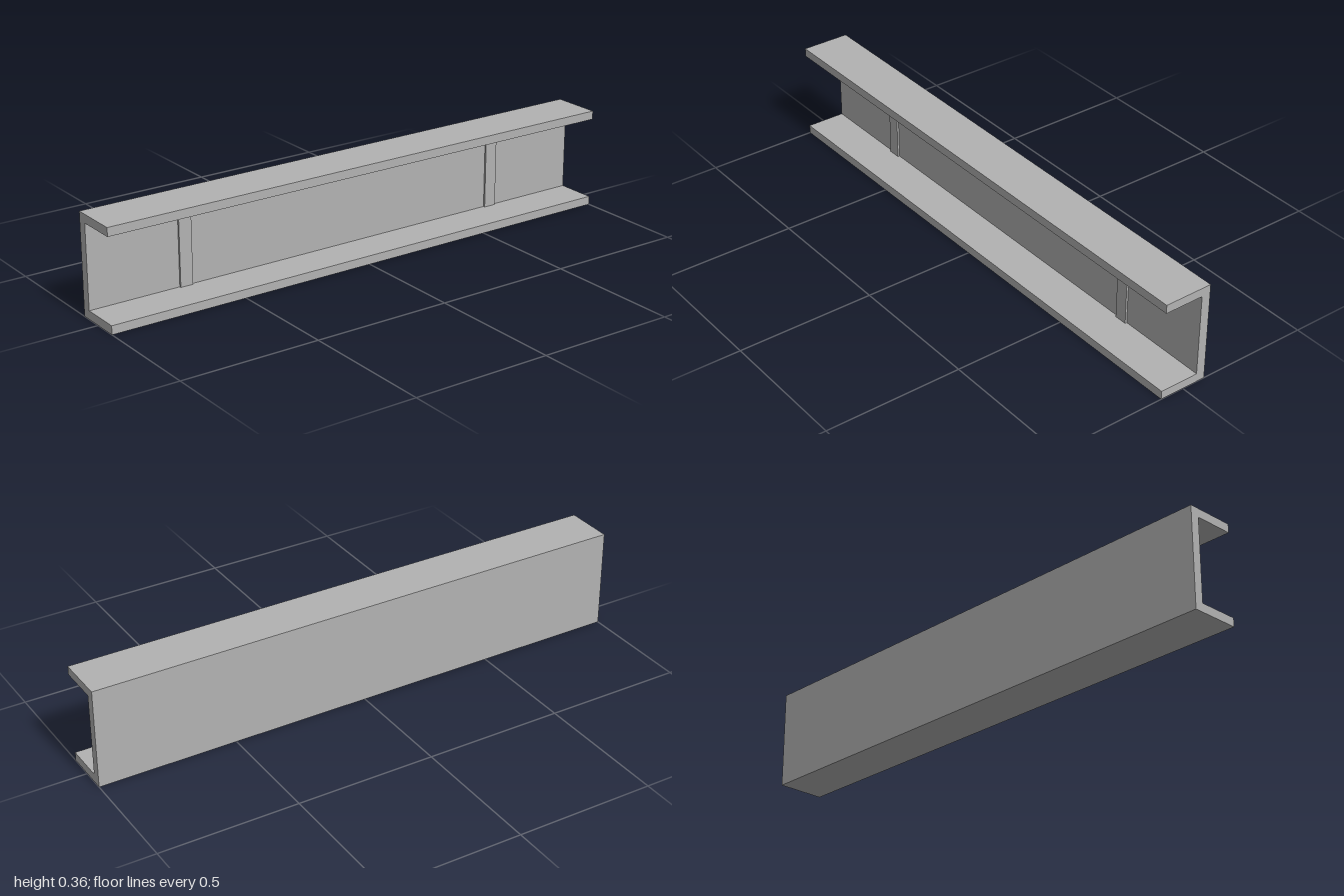
import * as THREE from 'three';

const LENGTH = 2, HEIGHT = 0.36, HALF_DEPTH = 0.089;
const FLANGE = 0.031;         // flange thickness
const WEB_FRONT = -0.056;     // z of the web's front face
const RIB_FRONT = -0.049;     // z of the ribs' front face

export function createModel() {
  const group = new THREE.Group();
  group.name = 'channelBeam';
  const steel = new THREE.MeshStandardMaterial({ color: 0xb2b2b2 });
  steel.name = 'greySteel';

  // C-shaped section as [z, y], open towards the front
  const section = [
    [HALF_DEPTH, 0], [-HALF_DEPTH, 0], [-HALF_DEPTH, HEIGHT], [HALF_DEPTH, HEIGHT],
    [HALF_DEPTH, HEIGHT - FLANGE], [WEB_FRONT, HEIGHT - FLANGE],
    [WEB_FRONT, FLANGE], [HALF_DEPTH, FLANGE],
  ];
  const shape = new THREE.Shape(section.map(([z, y]) => new THREE.Vector2(-z, y)));
  const geometry = new THREE.ExtrudeGeometry(shape, { depth: LENGTH, bevelEnabled: false });
  geometry.translate(0, 0, -LENGTH / 2).rotateY(Math.PI / 2);
  const channel = new THREE.Mesh(geometry, steel);
  channel.name = 'channel';
  group.add(channel);

  // Shallow upright ribs on the web, between the flanges
  for (const side of [-1, 1]) {
    const rib = new THREE.Mesh(
      new THREE.BoxGeometry(0.047, HEIGHT - 2 * FLANGE, RIB_FRONT - WEB_FRONT), steel);
    rib.position.set(side * 0.641, HEIGHT / 2, (RIB_FRONT + WEB_FRONT) / 2);
    rib.name = side > 0 ? 'leftRib' : 'rightRib';
    group.add(rib);
  }
  return group;
}
